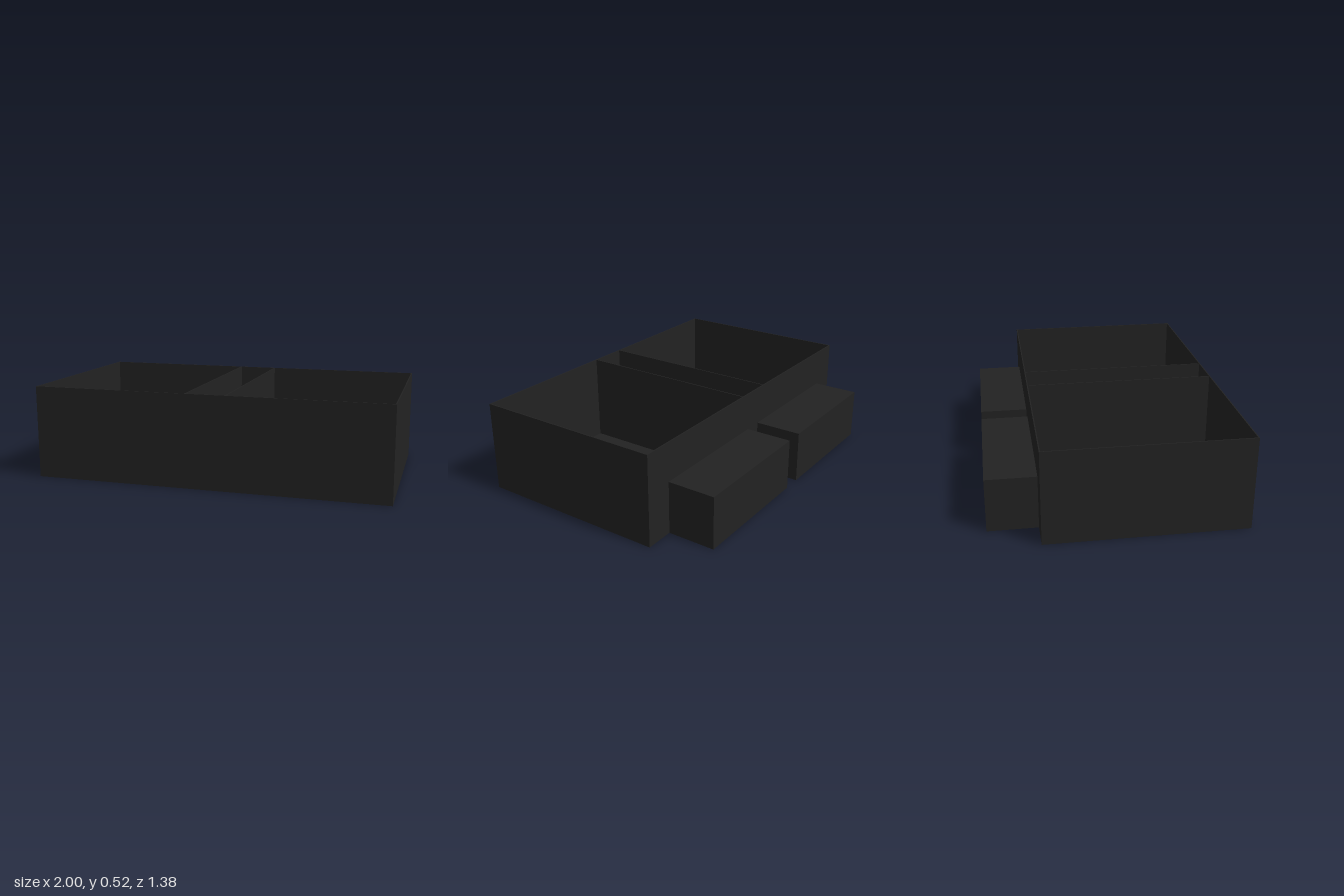
import * as THREE from 'three';

export function createModel() {
  const model = new THREE.Group();
  const black = new THREE.MeshStandardMaterial({ color: 0x222222 });
  black.name = 'matte black';

  // Box given by its lower and upper corners
  const addBox = (name, [x0, y0, z0], [x1, y1, z1]) => {
    const mesh = new THREE.Mesh(new THREE.BoxGeometry(x1 - x0, y1 - y0, z1 - z0), black);
    mesh.position.set((x0 + x1) / 2, (y0 + y1) / 2, (z0 + z1) / 2);
    mesh.name = name;
    model.add(mesh);
  };

  const t = 0.006;              // sheet thickness
  const height = 0.524;
  const front = 0.69, back = -0.415, rear = -0.69;

  // Open tray: floor, front and back walls
  addBox('floor', [-1, 0, back], [1, t, front]);
  addBox('frontWall', [-1, t, front - t], [1, height, front]);
  addBox('backWall', [-1, t, back], [1, height, back + t]);

  for (const side of [-1, 1]) {
    const label = side > 0 ? 'left' : 'right';
    // Mirrored upright sheets and rear blocks
    const span = (a, b) => (side > 0 ? [a, b] : [-b, -a]);
    const [w0, w1] = span(1 - t, 1);
    addBox(label + 'SideWall', [w0, t, back + t], [w1, height, front - t]);
    const [d0, d1] = span(0.11, 0.11 + t);
    addBox(label + 'Divider', [d0, t, back + t], [d1, height, front - t]);
    const [b0, b1] = span(0.055, 0.832);
    addBox(label + 'RearBlock', [b0, 0, rear], [b1, 0.302, back]);
  }
  return model;
}
